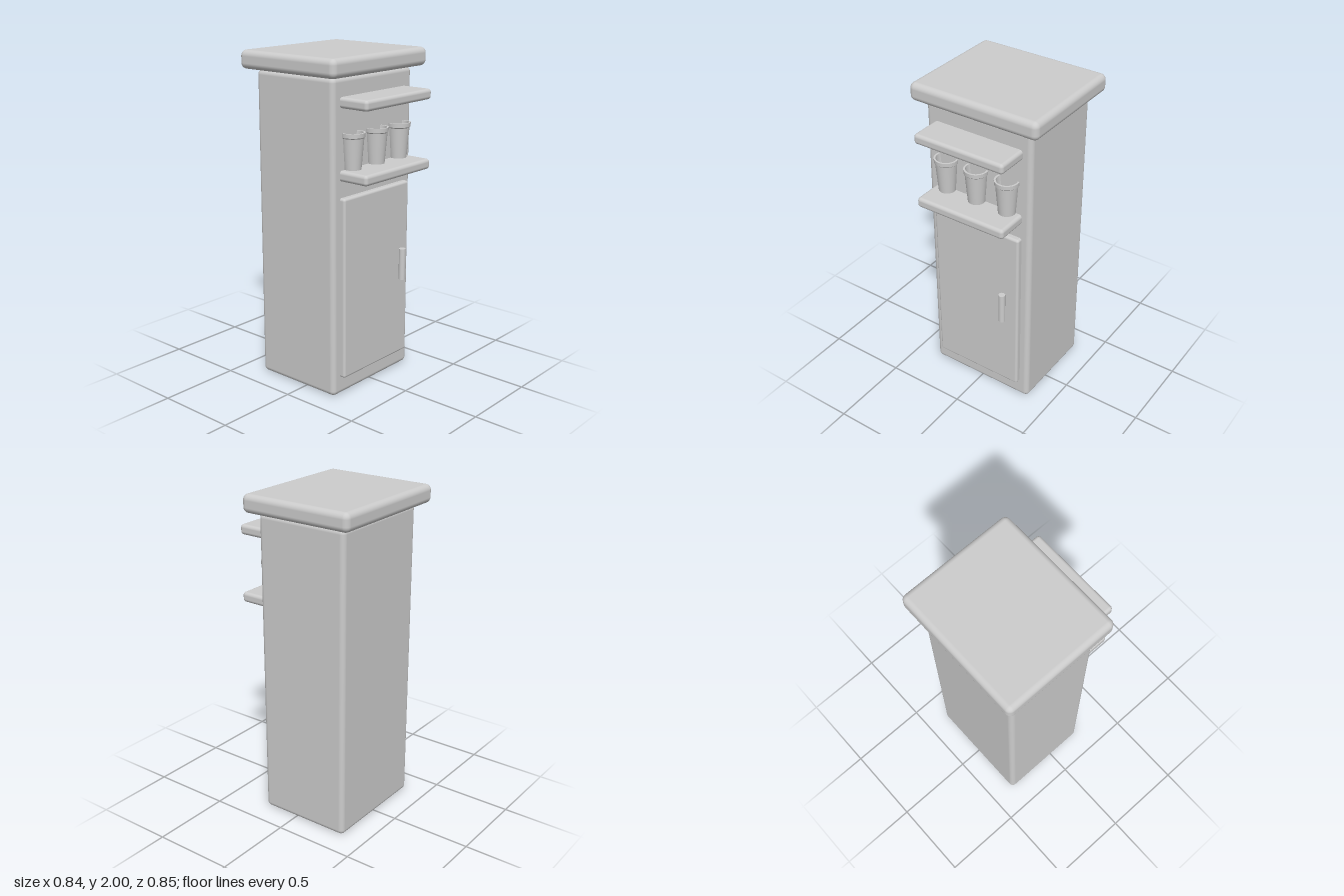
import * as THREE from 'three';
import { RoundedBoxGeometry } from 'three/addons/geometries/RoundedBoxGeometry.js';

export function createModel() {
  const group = new THREE.Group();
  const grey = new THREE.MeshStandardMaterial({ color: 0xcccccc });
  grey.name = 'light grey';

  function add(name, geometry, x = 0, y = 0, z = 0) {
    const mesh = new THREE.Mesh(geometry, grey);
    mesh.name = name;
    mesh.position.set(x, y, z);
    group.add(mesh);
  }

  // Rounded box given by half width and its y and z ranges
  function slab(name, halfWidth, y0, y1, z0, z1, radius) {
    const geometry = new RoundedBoxGeometry(halfWidth * 2, y1 - y0, z1 - z0, 4, radius);
    add(name, geometry, 0, (y0 + y1) / 2, (z0 + z1) / 2);
  }

  // Cabinet with overhanging top and door
  slab('cabinetBody', 0.352, 0, 1.888, -0.355, 0.235, 0.03);
  slab('cabinetTop', 0.42, 1.89, 2, -0.425, 0.3, 0.035);
  slab('door', 0.295, 0.112, 1.208, 0.2, 0.27, 0.015);

  // Shelves set into the front
  slab('lowerShelf', 0.295, 1.304, 1.366, 0.15, 0.427, 0.02);
  slab('upperShelf', 0.295, 1.717, 1.779, 0.15, 0.427, 0.02);

  // Upright door handle
  add('doorHandle', new THREE.CylinderGeometry(0.02, 0.02, 0.195, 20), 0.205, 0.707, 0.3);

  // Hollow tapered cups with a lip, half sunk into the front
  const steps = [
    [[0, 0], [0.05, 0]],
    [[0.05, 0], [0.065, 0.18]],
    [[0.065, 0.18], [0.071, 0.186]],
    [[0.071, 0.186], [0.072, 0.21]],
    [[0.072, 0.21], [0.061, 0.21]],
    [[0.061, 0.21], [0.044, 0.012]],
    [[0.044, 0.012], [0, 0.012]],
  ];
  for (const x of [-0.207, 0, 0.207]) {
    for (const step of steps) {
      const profile = step.map(([r, y]) => new THREE.Vector2(r, y));
      add('cup', new THREE.LatheGeometry(profile, 32), x, 1.366, 0.254);
    }
  }
  return group;
}
